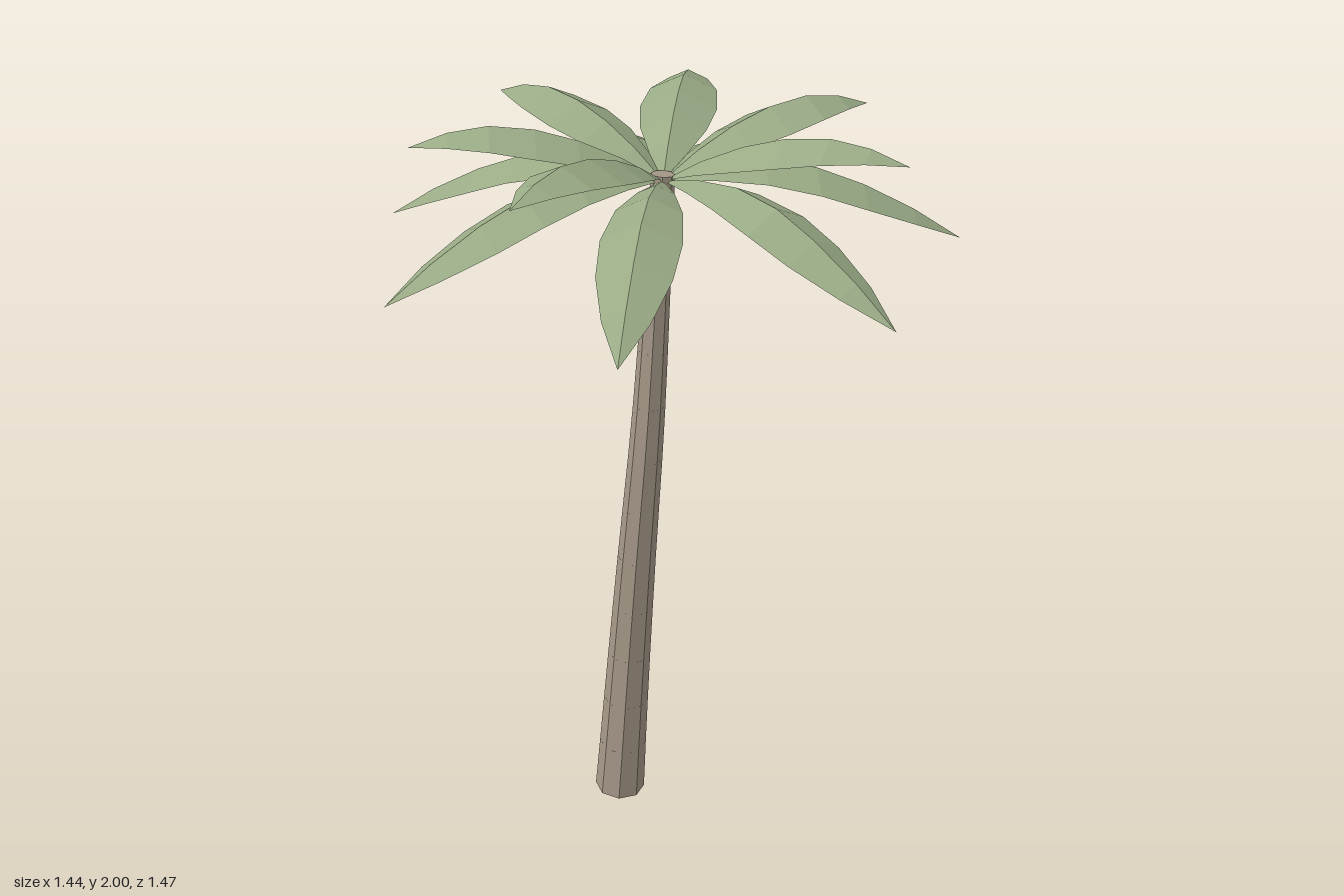
import * as THREE from 'three';

const bark = new THREE.MeshStandardMaterial({ name: 'bark', color: 0xa59888, flatShading: true });
const leaf = new THREE.MeshStandardMaterial({ name: 'leaf', color: 0x99aa85, flatShading: true, side: THREE.DoubleSide });

const CROWN_X = -0.04;

// Leaning trunk made of short tapered sections that follow a curve
function createTrunk() {
  const trunk = new THREE.Group();
  trunk.name = 'trunk';
  const path = new THREE.CatmullRomCurve3([
    [-0.165, 0.007, 0.06], [-0.132, 0.4, 0.054], [-0.1, 0.8, 0.043],
    [-0.066, 1.2, 0.031], [-0.048, 1.6, 0.014], [CROWN_X, 1.865, 0],
  ].map((p) => new THREE.Vector3(...p)));
  const sections = 12;
  const up = new THREE.Vector3(0, 1, 0);
  const radius = (t) => 0.07 - 0.04 * Math.pow(t, 0.9);
  for (let i = 0; i < sections; i++) {
    const a = path.getPointAt(i / sections);
    const b = path.getPointAt((i + 1) / sections);
    const dir = b.clone().sub(a);
    const geometry = new THREE.CylinderGeometry(
      radius((i + 1) / sections), radius(i / sections), dir.length() + 0.004, 8);
    const section = new THREE.Mesh(geometry, bark);
    section.name = 'trunkSection';
    section.position.copy(a).add(b).multiplyScalar(0.5);
    section.quaternion.setFromUnitVectors(up, dir.normalize());
    trunk.add(section);
  }
  return trunk;
}

// Folded blade along +x: a raised midrib with both edges hanging lower.
// Each row is [distance, height, half width].
function frondGeometry(rows) {
  const positions = [];
  const indices = [];
  rows.forEach(([r, y, w]) => {
    positions.push(r, y - w * 0.45, -w, r, y, 0, r, y - w * 0.45, w);
  });
  for (let i = 0; i < rows.length - 1; i++) {
    for (let s = 0; s < 2; s++) {
      const a = i * 3 + s, b = a + 1, c = a + 3, d = a + 4;
      if (i > 0) indices.push(a, b, c);
      if (i === 0) indices.push(a, d, c);
      else if (i < rows.length - 2) indices.push(b, d, c);
    }
  }
  const indexed = new THREE.BufferGeometry();
  indexed.setAttribute('position', new THREE.Float32BufferAttribute(positions, 3));
  indexed.setIndex(indices);
  const geometry = indexed.toNonIndexed();
  geometry.computeVertexNormals();
  return geometry;
}

// Ring of fronds, placed at sevenths of a turn
function createFronds(name, rows, steps) {
  const ring = new THREE.Group();
  ring.name = name;
  const geometry = frondGeometry(rows);
  for (const step of steps) {
    const frond = new THREE.Mesh(geometry, leaf);
    frond.name = 'frond';
    frond.rotation.y = (step * Math.PI * 2) / 7;
    ring.add(frond);
  }
  ring.position.x = CROWN_X;
  return ring;
}

export function createModel() {
  const palm = new THREE.Group();
  palm.name = 'palmTree';
  palm.add(createTrunk());

  // Long drooping lower fronds
  palm.add(createFronds('lowerFronds', [
    [0, 1.85, 0], [0.126, 1.88, 0.045], [0.25, 1.892, 0.08], [0.38, 1.872, 0.096],
    [0.5, 1.825, 0.088], [0.63, 1.757, 0.055], [0.755, 1.675, 0],
  ], [0, 1, 2, 3, 4, 5, 6]));

  // Shorter raised upper fronds, with one gap at the front left
  palm.add(createFronds('upperFronds', [
    [0, 1.85, 0], [0.1, 1.91, 0.048], [0.205, 1.957, 0.085], [0.31, 1.988, 0.1],
    [0.42, 2.0, 0.088], [0.52, 1.986, 0.052], [0.615, 1.952, 0],
  ], [0.5, 1.5, 2.5, 3.5, 4.5, 5.5]));

  return palm;
}
